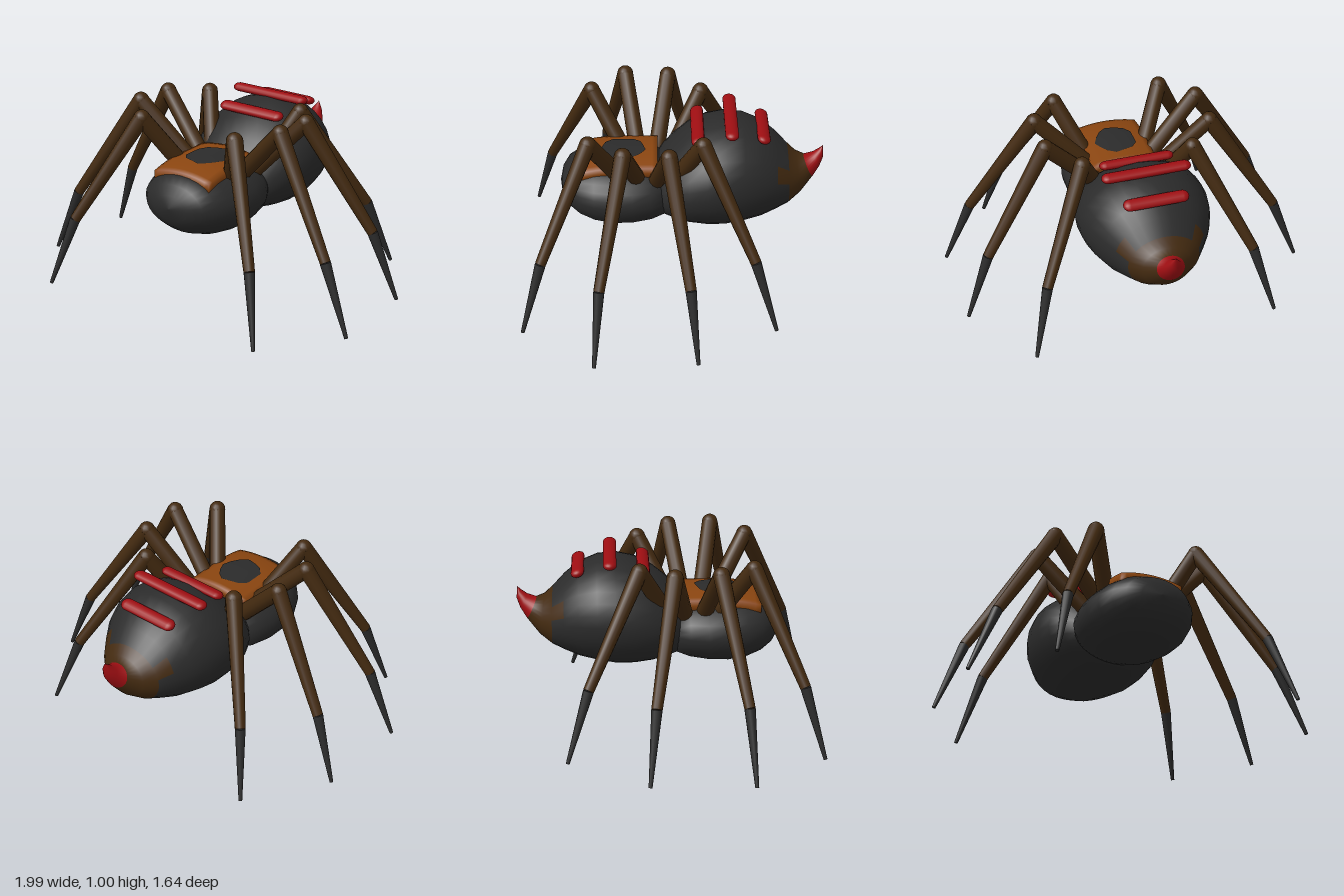
import * as THREE from 'three';
import { mergeVertices } from 'three/addons/utils/BufferGeometryUtils.js';

const mat = (name, color) => {
  const m = new THREE.MeshStandardMaterial({ color });
  m.name = name;
  return m;
};

// Closed smooth body from oval sections: [zTop, yTop, zBottom, yBottom, halfWidth], front to back.
// colourOf(band, segment) gives the material index of each face.
function loft(sections, segs, colourOf = () => 0) {
  const pos = [], faces = {};
  for (const [zt, yt, zb, yb, w] of sections) {
    for (let j = 0; j < segs; j++) {
      const a = (j / segs) * Math.PI * 2, s = Math.sin(a);
      pos.push(w * Math.cos(a), (yt + yb) / 2 + ((yt - yb) / 2) * s, (zt + zb) / 2 + ((zt - zb) / 2) * s);
    }
  }
  for (let i = 0; i < sections.length - 1; i++) {
    for (let j = 0; j < segs; j++) {
      const k = (j + 1) % segs, p = i * segs, q = p + segs;
      const list = (faces[colourOf(i, j)] ??= []);
      if (i < sections.length - 2) list.push(p + j, q + j, q + k);
      else list.push(p + j, q + j, p + k);
      if (i > 0 && i < sections.length - 2) list.push(p + j, q + k, p + k);
    }
  }
  const g = new THREE.BufferGeometry(), index = [];
  for (const c of Object.keys(faces)) {
    g.addGroup(index.length, faces[c].length, Number(c));
    for (const v of faces[c]) index.push(v);
  }
  g.setAttribute('position', new THREE.Float32BufferAttribute(pos, 3));
  g.setIndex(index);
  g.computeVertexNormals();
  return g;
}

// Move vertices by a rule and smooth the result
function bend(g, rule) {
  g.deleteAttribute('normal');
  g.deleteAttribute('uv');
  g = mergeVertices(g);
  const p = g.attributes.position, v = new THREE.Vector3();
  for (let i = 0; i < p.count; i++) {
    rule(v.fromBufferAttribute(p, i));
    p.setXYZ(i, v.x, v.y, v.z);
  }
  g.computeVertexNormals();
  return g;
}

export function createModel() {
  const model = new THREE.Group();
  model.name = 'spider';
  const black = mat('black', 0x2b2b2b), brown = mat('brown', 0x432a10);
  const orange = mat('orange', 0x8a4510), red = mat('red', 0x9e0e12);

  const add = (name, geometry, material, parent = model) => {
    const m = new THREE.Mesh(geometry, material);
    m.name = name;
    parent.add(m);
    return m;
  };

  // Head
  add('head', loft([
    [0.62, 0.55, 0.62, 0.55, 0],
    [0.605, 0.62, 0.605, 0.48, 0.11],
    [0.57, 0.67, 0.57, 0.43, 0.185],
    [0.51, 0.70, 0.51, 0.385, 0.24],
    [0.43, 0.715, 0.43, 0.355, 0.28],
    [0.33, 0.72, 0.33, 0.34, 0.302],
    [0.22, 0.715, 0.22, 0.345, 0.302],
    [0.12, 0.705, 0.12, 0.36, 0.28],
    [0.03, 0.68, 0.03, 0.39, 0.23],
    [-0.03, 0.55, -0.03, 0.55, 0],
  ], 28), black);

  // Abdomen: black body, brown rear band and red upturned tip
  const abdomen = [
    [0.12, 0.55, 0.12, 0.55, 0],
    [0.10, 0.66, 0.10, 0.43, 0.18],
    [0.06, 0.72, 0.06, 0.385, 0.245],
    [0, 0.785, 0, 0.367, 0.295],
    [-0.08, 0.85, -0.08, 0.345, 0.338],
    [-0.18, 0.905, -0.18, 0.33, 0.357],
    [-0.28, 0.928, -0.28, 0.328, 0.357],
    [-0.38, 0.92, -0.38, 0.345, 0.338],
    [-0.48, 0.88, -0.48, 0.368, 0.298],
    [-0.56, 0.815, -0.56, 0.4, 0.245],
    [-0.625, 0.745, -0.63, 0.433, 0.195],
    [-0.67, 0.705, -0.70, 0.487, 0.135],
    [-0.715, 0.69, -0.77, 0.575, 0.075],
    [-0.765, 0.71, -0.805, 0.635, 0.048],
    [-0.80, 0.738, -0.823, 0.69, 0.024],
    [-0.818, 0.756, -0.818, 0.756, 0],
  ];
  const abdomenColour = (i, j) => {
    if (i >= 12) return 2;
    if (i >= 10) return 1;
    return i === 9 && [1, 2, 11, 12].includes(j) ? 1 : 0;
  };
  add('abdomen', loft(abdomen, 28, abdomenColour), [black, brown, red]);

  // Red bars across the back: z, y, half length, tilt
  [[-0.13, 0.885, 0.205, 0.3], [-0.31, 0.937, 0.243, 0], [-0.485, 0.877, 0.177, -0.3]].forEach(([z, y, half, tilt], i) => {
    const g = new THREE.CapsuleGeometry(0.036, 2 * half - 0.072, 6, 14).rotateZ(Math.PI / 2).scale(1, 0.66, 1);
    const bar = add('backBar' + (i + 1), g, red);
    bar.position.set(0, y, z);
    bar.rotation.x = tilt;
  });

  // Orange saddle on the head with a dark spot
  const saddleY = (x, z) => 0.717 - 0.8 * x * x - 0.7 * Math.max(0, z - 0.3) ** 2;
  add('saddle', bend(new THREE.BoxGeometry(0.36, 0.06, 0.42, 12, 2, 14), (v) => {
    v.z += 0.295;
    v.y += saddleY(v.x, v.z);
  }), orange);
  const spot = new THREE.RingGeometry(0.001, 1, 14, 4).rotateX(-Math.PI / 2);
  add('saddleSpot', bend(spot, (v) => {
    const wobble = 0.97 + 0.06 * Math.cos(5 * Math.atan2(v.z, v.x));
    v.x *= 0.115 * wobble;
    v.z = 0.275 + 0.125 * wobble * v.z;
    v.y = saddleY(v.x, v.z) + 0.035;
  }), black);

  // Legs: root, knee, ankle, tip (model's left side, mirrored)
  const legs = {
    frontLeg: [[0.17, 0.67, 0.29], [0.305, 0.945, 0.45], [0.58, 0.38, 0.705], [0.68, 0.01, 0.81]],
    secondLeg: [[0.17, 0.66, 0.2], [0.46, 0.965, 0.265], [0.83, 0.38, 0.39], [0.985, 0.01, 0.42]],
    thirdLeg: [[0.17, 0.64, 0.09], [0.46, 0.955, 0.025], [0.825, 0.38, -0.082], [0.965, 0.01, -0.12]],
    rearLeg: [[0.19, 0.68, -0.02], [0.305, 0.935, -0.155], [0.58, 0.38, -0.43], [0.68, 0.01, -0.545]],
  };
  const up = new THREE.Vector3(0, 1, 0);
  const limb = (name, a, b, ra, rb, material, parent) => {
    const d = b.clone().sub(a);
    const m = add(name, new THREE.CylinderGeometry(rb, ra, d.length(), 12), material, parent);
    m.position.copy(a).addScaledVector(d, 0.5);
    m.quaternion.setFromUnitVectors(up, d.normalize());
  };
  for (const [side, label] of [[1, 'Left'], [-1, 'Right']]) {
    for (const [name, points] of Object.entries(legs)) {
      const leg = new THREE.Group();
      leg.name = name + label;
      model.add(leg);
      const [root, knee, ankle, tip] = points.map(([x, y, z]) => new THREE.Vector3(x * side, y, z));
      limb('thigh', root, knee, 0.046, 0.044, brown, leg);
      add('knee', new THREE.SphereGeometry(0.045, 14, 10), brown, leg).position.copy(knee);
      limb('shin', knee, ankle, 0.045, 0.029, brown, leg);
      limb('foot', ankle, tip, 0.029, 0.01, black, leg);
    }
  }
  return model;
}
